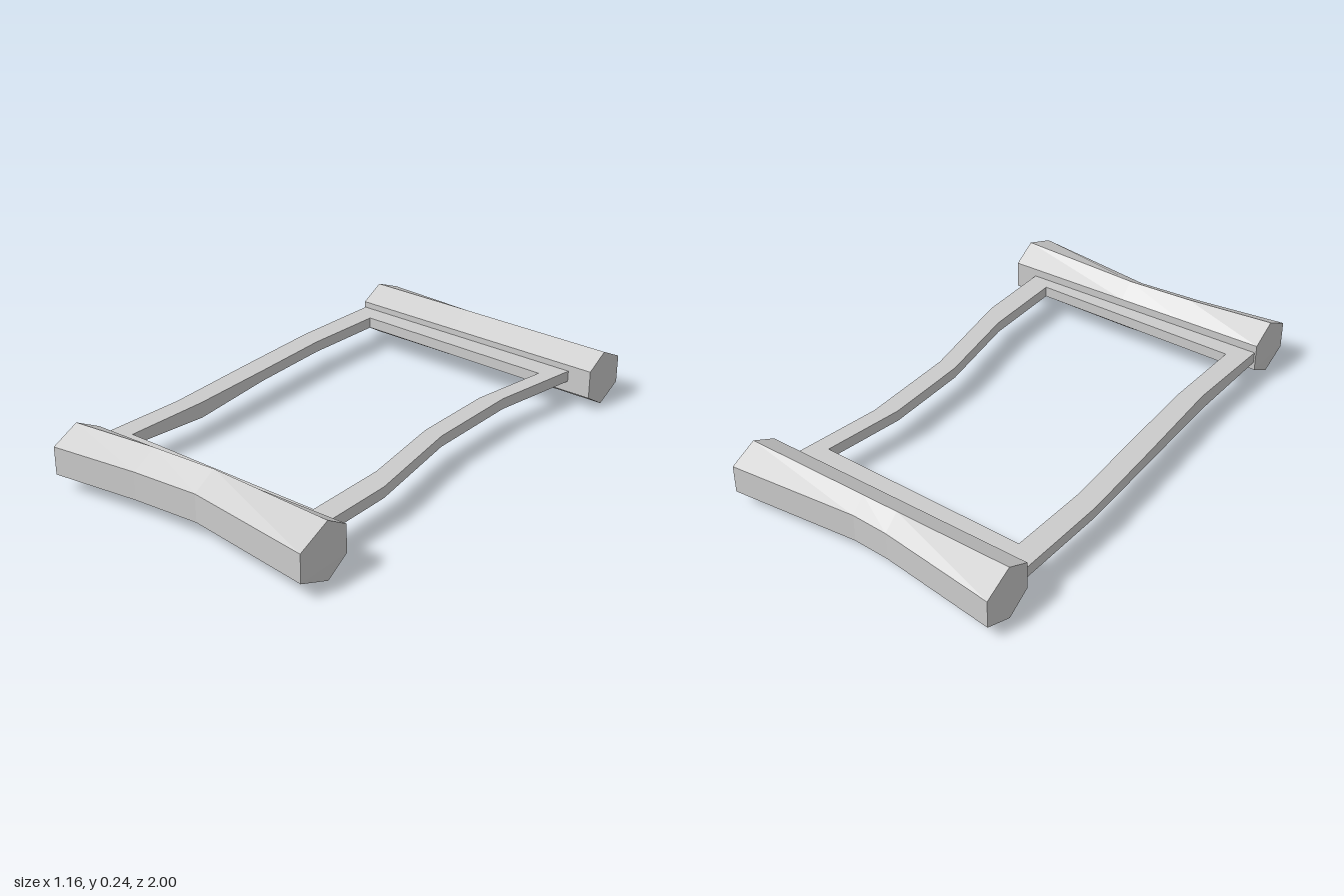
import * as THREE from 'three';

const material = new THREE.MeshStandardMaterial({ color: 0xcccccc, flatShading: true, side: THREE.DoubleSide });

// Closed solid lofted along +x through hexagonal rings of [x, y, z] points
function loft(name, rings) {
  const n = rings[0].length, last = (rings.length - 1) * n, index = [];
  for (let i = 0; i < rings.length - 1; i++) {
    for (let j = 0; j < n; j++) {
      const k = (j + 1) % n, a = i * n, b = a + n;
      index.push(a + j, a + k, b + k, a + j, b + k, b + j);
    }
  }
  for (let j = 1; j < n - 1; j++) {
    index.push(0, j + 1, j, last, last + j, last + j + 1);
  }
  const geometry = new THREE.BufferGeometry();
  geometry.setAttribute('position', new THREE.Float32BufferAttribute(rings.flat(2), 3));
  geometry.setIndex(index);
  const flat = geometry.toNonIndexed();
  flat.computeVertexNormals();
  const mesh = new THREE.Mesh(flat, material);
  mesh.name = name;
  return mesh;
}

// Stations are [x, inner z, ridge z, outer z, bottom ridge z]
function endBar(name, stations, [y0, y1, y2, y3]) {
  const rings = stations.map(([x, inner, ridge, outer, under = ridge]) => {
    const ring = [
      [x, y1, inner], [x, y2, inner], [x, y3, ridge],
      [x * 1.008, y2, outer], [x * 1.008, y1, outer], [x, y0, under],
    ];
    return outer < inner ? ring.reverse() : ring;
  });
  return loft(name, rings);
}

// Flat rectangular frame with wavy side rails
function sideFrame() {
  const outer = [[-0.57, -0.82], [-0.585, -0.38], [-0.57, 0], [-0.55, 0.41], [-0.57, 0.82],
    [0.48, 0.80], [0.48, 0.43], [0.41, 0], [0.41, -0.4], [0.48, -0.82]];
  const inner = [[-0.48, -0.69], [-0.495, -0.35], [-0.48, 0], [-0.468, 0.36], [-0.48, 0.71],
    [0.39, 0.70], [0.39, 0.36], [0.335, 0], [0.335, -0.35], [0.39, -0.68]];
  const points = list => list.map(([x, z]) => new THREE.Vector2(x, z));
  const shape = new THREE.Shape(points(outer));
  shape.holes.push(new THREE.Path(points(inner)));
  const geometry = new THREE.ExtrudeGeometry(shape, { depth: 0.045, bevelEnabled: false });
  geometry.rotateX(Math.PI / 2).translate(0, 0.15, 0);

  // Slight sag on the underside of one rail
  const p = geometry.attributes.position;
  for (let i = 0; i < p.count; i++) {
    if (p.getY(i) < 0.12 && p.getX(i) < 0 && p.getZ(i) > 0.3 && p.getZ(i) < 0.5) p.setY(i, 0.085);
  }
  geometry.computeVertexNormals();
  const mesh = new THREE.Mesh(geometry, material);
  mesh.name = 'frame';
  return mesh;
}

export function createModel() {
  const model = new THREE.Group();
  model.name = 'barFrame';
  model.add(sideFrame());

  // Front bar, waisted on its outer side
  model.add(endBar('frontBar', [
    [-0.575, 0.785, 0.89, 0.998],
    [-0.22, 0.773, 0.845, 0.945],
    [0.05, 0.763, 0.825, 0.92],
    [0.572, 0.745, 0.84, 0.982],
  ], [0.01, 0.07, 0.183, 0.24]));

  // Back bar, straight inside and waisted outside
  model.add(endBar('backBar', [
    [-0.575, -0.772, -0.872, -1.0],
    [-0.1, -0.772, -0.872, -0.937],
    [0.05, -0.772, -0.872, -0.93],
    [0.572, -0.772, -0.872, -0.98],
  ], [0, 0.06, 0.175, 0.228]));

  return model;
}
